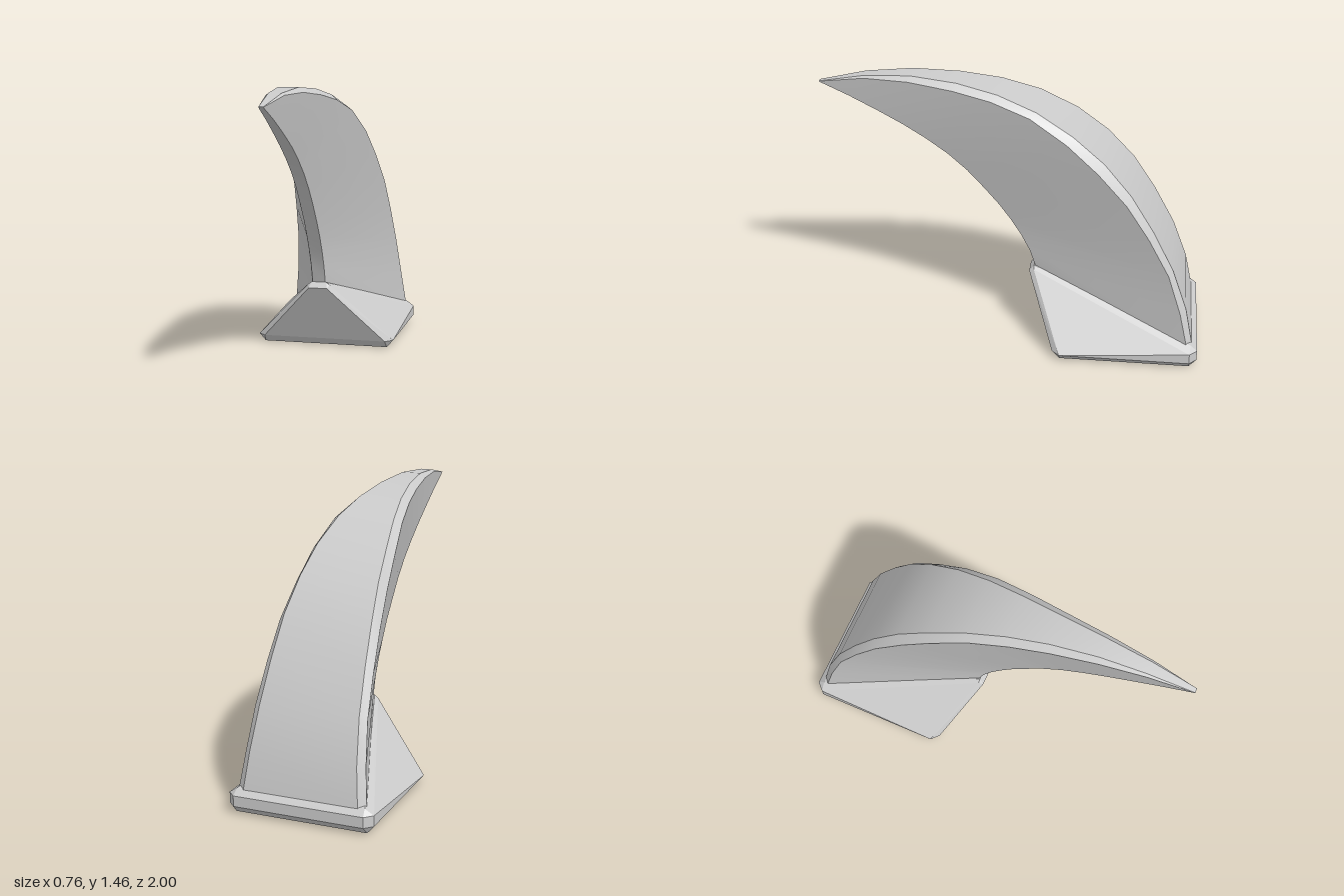
import * as THREE from 'three';
import { ConvexGeometry } from 'three/addons/geometries/ConvexGeometry.js';

// Horn stations from root to tip:
// back z, y, half width | widest edge z, y, half width | front z, y, half width
const stations = [
  [-0.975, 0.08, 0.305, -0.95, 0.08, 0.34, -0.14, 0.33, 0.035],
  [-0.97, 0.12, 0.30, -0.94, 0.13, 0.335, -0.12, 0.38, 0.035],
  [-0.93, 0.31, 0.28, -0.90, 0.30, 0.315, -0.09, 0.47, 0.035],
  [-0.85, 0.53, 0.26, -0.83, 0.51, 0.295, -0.045, 0.56, 0.035],
  [-0.74, 0.74, 0.245, -0.72, 0.71, 0.28, 0.01, 0.65, 0.035],
  [-0.62, 0.93, 0.23, -0.60, 0.89, 0.265, 0.075, 0.74, 0.034],
  [-0.48, 1.09, 0.208, -0.45, 1.05, 0.243, 0.15, 0.83, 0.034],
  [-0.32, 1.22, 0.185, -0.29, 1.19, 0.22, 0.24, 0.93, 0.033],
  [-0.13, 1.33, 0.15, -0.10, 1.31, 0.185, 0.34, 1.02, 0.032],
  [0.07, 1.40, 0.113, 0.10, 1.375, 0.147, 0.45, 1.10, 0.031],
  [0.28, 1.44, 0.08, 0.30, 1.41, 0.112, 0.57, 1.175, 0.029],
  [0.52, 1.457, 0.052, 0.53, 1.433, 0.078, 0.70, 1.245, 0.025],
  [0.76, 1.44, 0.032, 0.76, 1.43, 0.046, 0.85, 1.32, 0.019],
  [1, 1.39, 0.012, 1, 1.388, 0.012, 1, 1.386, 0.012],
];

// Six corners of one cross-section, running round the horn
function section(s) {
  const right = [0, 3, 6].map((k) => [-s[k + 2], s[k + 1], s[k]]);
  const left = right.map(([x, y, z]) => [-x, y, z]).reverse();
  return [...right, ...left];
}

// One lengthwise face: smooth along the curve, sharp at its long edges
function strip(rings, a, b) {
  const pos = [], index = [];
  rings.forEach((r, i) => {
    pos.push(...r[a], ...r[b]);
    if (i > 0) {
      const p = 2 * i - 2;
      index.push(p, p + 1, p + 2, p + 1, p + 3, p + 2);
    }
  });
  const g = new THREE.BufferGeometry();
  g.setAttribute('position', new THREE.Float32BufferAttribute(pos, 3));
  g.setIndex(index);
  g.computeVertexNormals();
  return g;
}

export function createModel() {
  const model = new THREE.Group();
  const grey = new THREE.MeshStandardMaterial({ color: 0xcccccc, side: THREE.DoubleSide });

  // Curved horn
  const horn = new THREE.Group();
  horn.name = 'horn';
  const rings = stations.map(section);
  const names = ['rightBevel', 'rightSide', 'frontEdge', 'leftSide', 'leftBevel', 'back'];
  names.forEach((name, i) => {
    const mesh = new THREE.Mesh(strip(rings, i, (i + 1) % 6), grey);
    mesh.name = name;
    horn.add(mesh);
  });
  model.add(horn);

  // Bevelled wedge base
  const half = [
    [0.345, 0, -0.28], [0.345, 0, -0.96],
    [0.34, 0.04, -0.24], [0.38, 0.04, -0.28],
    [0.38, 0.04, -0.96], [0.34, 0.04, -1],
    [0.38, 0.095, -0.96], [0.34, 0.095, -1], [0.335, 0.125, -0.965],
    [0.05, 0.35, -0.09], [0.06, 0.365, -0.115], [0.04, 0.38, -0.115],
  ];
  const points = half.flatMap(([x, y, z]) => [new THREE.Vector3(x, y, z), new THREE.Vector3(-x, y, z)]);
  const base = new THREE.Mesh(
    new ConvexGeometry(points),
    new THREE.MeshStandardMaterial({ color: 0xcccccc, flatShading: true }),
  );
  base.name = 'base';
  model.add(base);

  return model;
}
